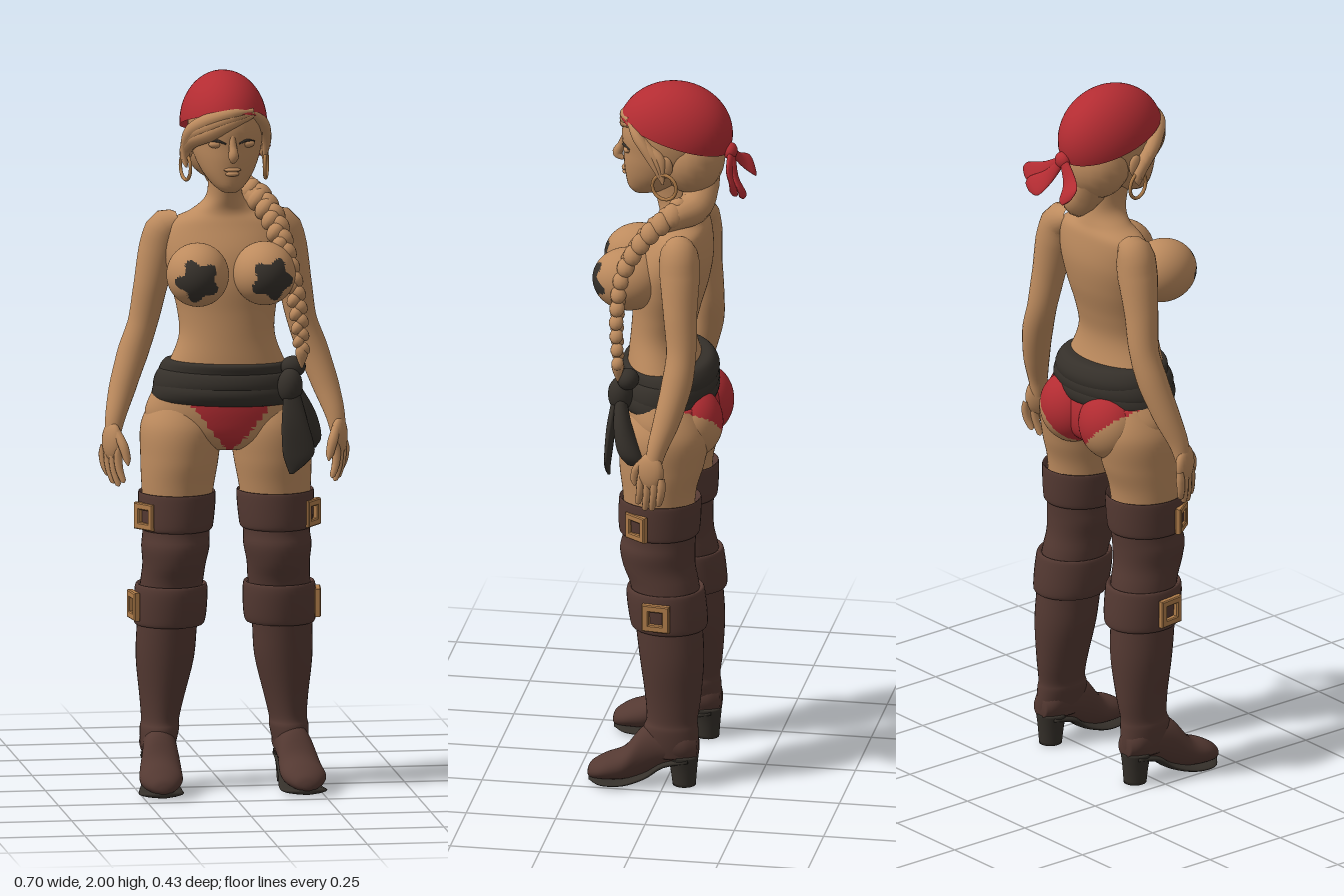
import * as THREE from 'three';

const mat = (name, color, side = THREE.FrontSide) => {
  const m = new THREE.MeshStandardMaterial({ color, side });
  m.name = name;
  return m;
};
const skin = mat('skin and hair', 0xbd8b5e);
const red = mat('red cloth', 0xb32c32, THREE.DoubleSide);
const leather = mat('brown leather', 0x543932);
const dark = mat('dark cloth', 0x35302a);
const brass = mat('brass', 0xb07d4a);

const cubic = (a, b, c, d, t) =>
  b + 0.5 * t * (c - a + t * (2 * a - 5 * b + 4 * c - d + t * (3 * (b - c) + d - a)));

// Smooth stack of oval rings, top to bottom: [y, centreX, halfWidth, zFront, zBack]
function loft(rows, seg = 36, steps = 4) {
  const rings = [];
  const at = k => rows[Math.min(Math.max(k, 0), rows.length - 1)];
  for (let i = 0; i < rows.length - 1; i++)
    for (let s = 0; s < steps; s++)
      rings.push(rows[0].map((_, k) => cubic(at(i - 1)[k], at(i)[k], at(i + 1)[k], at(i + 2)[k], s / steps)));
  rings.push(rows[rows.length - 1]);
  const pos = [], idx = [], n = rings.length;
  for (const [y, cx, rx, zf, zb] of rings)
    for (let j = 0; j < seg; j++) {
      const a = (j / seg) * Math.PI * 2;
      pos.push(cx + rx * Math.cos(a), y, (zf + zb) / 2 + ((zf - zb) / 2) * Math.sin(a));
    }
  for (const [y, cx, , zf, zb] of [rings[0], rings[n - 1]]) pos.push(cx, y, (zf + zb) / 2);
  for (let j = 0; j < seg; j++) {
    const k = (j + 1) % seg;
    for (let i = 0; i < n - 1; i++) {
      const p = i * seg, q = p + seg;
      idx.push(p + j, p + k, q + j, p + k, q + k, q + j);
    }
    const e = (n - 1) * seg;
    idx.push(n * seg, k, j, n * seg + 1, e + j, e + k);
  }
  const g = new THREE.BufferGeometry();
  g.setAttribute('position', new THREE.Float32BufferAttribute(pos, 3));
  g.setIndex(idx);
  g.computeVertexNormals();
  return g;
}

// Tube with a radius at every point: [x, y, z, radius]
function strand(pts, seg = 12) {
  const curve = new THREE.CatmullRomCurve3(pts.map(p => new THREE.Vector3(p[0], p[1], p[2])));
  const n = pts.length * 4, g = new THREE.TubeGeometry(curve, n, 1, seg), p = g.attributes.position;
  const v = new THREE.Vector3();
  for (let i = 0; i <= n; i++) {
    const u = curve.getUtoTmapping(i / n) * (pts.length - 1);
    const k = Math.min(Math.floor(u), pts.length - 2);
    const r = THREE.MathUtils.lerp(pts[k][3], pts[k + 1][3], u - k);
    const c = curve.getPointAt(i / n);
    for (let j = 0; j <= seg; j++) {
      const id = i * (seg + 1) + j;
      v.fromBufferAttribute(p, id).sub(c).multiplyScalar(r).add(c);
      p.setXYZ(id, v.x, v.y, v.z);
    }
  }
  return g;
}

function ball(x, y, z, rx, ry, rz, seg = 20) {
  return new THREE.SphereGeometry(1, seg, Math.round(seg * 0.75)).scale(rx, ry, rz).translate(x, y, z);
}

// Sorts faces into two material groups by a rule on the face centre
function paint(g, rule) {
  const p = g.attributes.position, old = g.index.array, sets = [[], []];
  for (let i = 0; i < old.length; i += 3) {
    const f = [old[i], old[i + 1], old[i + 2]];
    const mean = get => (get(f[0]) + get(f[1]) + get(f[2])) / 3;
    sets[rule(mean(k => p.getX(k)), mean(k => p.getY(k)), mean(k => p.getZ(k))) ? 1 : 0].push(...f);
  }
  g.setIndex([...sets[0], ...sets[1]]);
  g.addGroup(0, sets[0].length, 0);
  g.addGroup(sets[0].length, sets[1].length, 1);
  return g;
}

const isBrief = (x, y, z) => y < 1.16 && y > 0.93 &&
  Math.abs(x) < (z > 0 ? 0.012 + 0.8 * (y - 0.96) : 0.025 + 1.0 * (y - 0.945));

export function createModel() {
  const model = new THREE.Group();
  const add = (name, geo, material) => {
    const m = new THREE.Mesh(geo, material);
    m.name = name;
    model.add(m);
    return m;
  };
  const body = [skin, red];

  // Torso and pelvis
  add('torso', paint(loft([
    [1.72, 0, 0.047, 0.07, -0.06], [1.65, 0, 0.05, 0.052, -0.07], [1.61, 0, 0.09, 0.045, -0.08],
    [1.575, 0, 0.155, 0.06, -0.093], [1.5, 0, 0.168, 0.1, -0.1], [1.42, 0, 0.155, 0.118, -0.088],
    [1.34, 0, 0.137, 0.12, -0.065], [1.27, 0, 0.133, 0.125, -0.052], [1.2, 0, 0.158, 0.132, -0.065],
    [1.12, 0, 0.2, 0.138, -0.1], [1.05, 0, 0.224, 0.138, -0.118], [0.99, 0, 0.2, 0.125, -0.11],
    [0.955, 0, 0.12, 0.085, -0.07], [0.945, 0, 0.05, 0.04, -0.03]], 80, 7), isBrief), body);

  // Head and neck hair
  add('head', loft([
    [1.99, 0, 0.02, 0.02, -0.02], [1.97, 0, 0.06, 0.08, -0.07], [1.92, 0, 0.096, 0.132, -0.12],
    [1.86, 0, 0.104, 0.152, -0.13], [1.81, 0, 0.1, 0.148, -0.12], [1.77, 0, 0.09, 0.147, -0.09],
    [1.73, 0, 0.072, 0.142, -0.04], [1.695, 0, 0.046, 0.135, 0.01], [1.677, 0, 0.022, 0.12, 0.07]]), skin);
  add('nose', strand([[0, 1.84, 0.145, 0.007], [0, 1.81, 0.154, 0.011], [0, 1.785, 0.165, 0.015], [0, 1.772, 0.155, 0.008], [0, 1.768, 0.145, 0.002]]), skin);
  add('upperLip', ball(0, 1.745, 0.144, 0.024, 0.006, 0.009), skin);
  add('lowerLip', ball(0, 1.733, 0.142, 0.019, 0.007, 0.009), skin);
  add('backHair', ball(0, 1.79, -0.045, 0.106, 0.105, 0.09), skin);
  add('napeHair', strand([[-0.03, 1.77, -0.08, 0.04], [0, 1.71, -0.07, 0.05], [0.05, 1.66, -0.06, 0.048], [0.09, 1.64, -0.01, 0.038], [0.11, 1.61, 0.04, 0.02]]), skin);

  // Swept fringe, in several locks
  for (let i = 0; i < 3; i++) {
    const d = i * 0.012;
    add('fringeLock', strand([[0.06, 1.905 - d / 2, 0.122, 0.008], [0, 1.9 - d, 0.142, 0.018], [-0.06, 1.88 - d * 1.4, 0.126, 0.024],
      [-0.105, 1.84 - d * 1.3, 0.075 - d, 0.022], [-0.114, 1.785 - d, 0.035 - d, 0.013], [-0.11, 1.735, 0.02, 0.003]]), skin);
    add('sideLock', strand([[0.05, 1.905, 0.126, 0.007], [0.092, 1.868 - d, 0.092 - d, 0.016], [0.108, 1.81, 0.05 - d, 0.014], [0.105, 1.74, 0.02, 0.003]]), skin);
  }

  // Braid over the left shoulder
  const braid = new THREE.CatmullRomCurve3([[0.085, 1.66, -0.02], [0.125, 1.6, 0.055], [0.152, 1.5, 0.118],
    [0.18, 1.38, 0.135], [0.195, 1.24, 0.13]].map(p => new THREE.Vector3(...p)));
  for (let i = 0; i < 26; i++) {
    const t = i / 25, c = braid.getPointAt(t), r = 0.031 - 0.014 * t, s = i % 2 ? 1 : -1;
    const knot = add('braidTwist', ball(0, 0, 0, r * 0.85, r * 1.15, r, 12), skin);
    knot.position.set(c.x + s * r * 0.4, c.y, c.z);
    knot.rotation.z = s * 0.6;
  }
  add('braidTip', loft([[1.25, 0.195, 0.012, 0.142, 0.118], [1.225, 0.195, 0.018, 0.147, 0.113], [1.185, 0.195, 0.003, 0.133, 0.127]], 14), skin);

  // Headscarf, knot and tails
  add('headscarf', new THREE.SphereGeometry(1, 48, 20, 0, Math.PI * 2, 0, Math.PI / 2)
    .rotateX(-0.33).scale(0.12, 0.145, 0.16).translate(-0.005, 1.855, 0.005), red);
  add('scarfKnot', ball(0.01, 1.815, -0.152, 0.026, 0.024, 0.02), red);
  for (const [rz, rx, len] of [[0.95, 0.3, 0.16], [0.62, 0.4, 0.15], [-0.75, 0.5, 0.13]]) {
    const tail = add('scarfTail', loft([[0, 0, 0.012, 0.01, -0.01], [-len * 0.5, 0, 0.022, 0.016, 0.002],
      [-len * 0.85, 0.004, 0.034, 0.004, -0.008], [-len, 0.016, 0.016, 0.002, -0.004]], 18), red);
    tail.position.set(0.005, 1.82, -0.155);
    tail.rotation.set(rx, 0, rz);
  }

  // Paired parts
  for (const s of [1, -1]) {
    const side = s > 0 ? 'left' : 'right';
    const sx = pts => pts.map(([x, ...r]) => [s * x, ...r]);
    const sl = rows => rows.map(([y, x, ...r]) => [y, s * x, ...r]);

    // Face
    add(side + 'Lash', strand(sx([[0.018, 1.818, 0.147, 0.002], [0.04, 1.826, 0.141, 0.004], [0.065, 1.82, 0.12, 0.002]]), 8), dark);
    add(side + 'Eyelid', ball(s * 0.042, 1.815, 0.129, 0.022, 0.011, 0.012), skin);
    add(side + 'Ear', ball(s * 0.103, 1.79, 0.015, 0.012, 0.032, 0.022), skin);
    const ring = add(side + 'Earring', new THREE.TorusGeometry(0.036, 0.005, 8, 28), brass);
    ring.position.set(s * 0.112, 1.735, 0.015);
    ring.rotation.y = Math.PI / 2 - s * 0.25;

    // Chest with ragged cloth patch
    add(side + 'Chest', paint(ball(s * 0.093, 1.45, 0.118, 0.086, 0.088, 0.1, 64), (x, y, z) => {
      const dx = s * x - 0.103, dy = y - 1.445;
      return z > 0.12 && Math.hypot(dx, dy) < 0.053 + 0.009 * Math.cos(5 * Math.atan2(dy, dx) + 0.6);
    }), [skin, dark]);

    // Arm and hand
    add(side + 'Arm', strand(sx([[0.12, 1.575, -0.03, 0.03], [0.158, 1.558, -0.035, 0.055], [0.178, 1.5, -0.04, 0.056],
      [0.2, 1.4, -0.045, 0.047], [0.222, 1.29, -0.052, 0.041], [0.25, 1.21, -0.045, 0.043], [0.284, 1.11, -0.022, 0.037],
      [0.307, 1.03, 0.002, 0.027], [0.314, 0.98, 0.01, 0.02]]), 24), skin);
    const palm = add(side + 'Palm', ball(0, 0, 0, 0.021, 0.055, 0.041), skin);
    palm.position.set(s * 0.316, 0.972, 0.016);
    palm.rotation.y = -s * 0.45;
    for (let i = 0; i < 4; i++) {
      const x = 0.301 + 0.011 * i, z = 0.046 - 0.021 * i, len = [0.072, 0.085, 0.08, 0.062][i];
      add(side + 'Finger', strand(sx([[x, 0.96, z, 0.009], [x + 0.003, 0.935, z, 0.0125], [x, 0.935 - len * 0.5, z + 0.004, 0.011],
        [x - 0.01, 0.94 - len, z + 0.01, 0.008], [x - 0.012, 0.935 - len, z + 0.01, 0.002]]), 10), skin);
    }
    add(side + 'Thumb', strand(sx([[0.305, 1.0, 0.035, 0.012], [0.291, 0.965, 0.06, 0.014], [0.282, 0.93, 0.068, 0.011], [0.279, 0.912, 0.068, 0.002]]), 10), skin);

    // Hip and thigh
    add(side + 'Buttock', paint(ball(s * 0.085, 1.035, -0.058, 0.096, 0.1, 0.086, 56), isBrief), body);
    add(side + 'Thigh', paint(loft(sl([[1.1, 0.125, 0.07, 0.09, -0.08], [1.02, 0.124, 0.11, 0.132, -0.112], [0.93, 0.129, 0.108, 0.136, -0.1],
      [0.85, 0.135, 0.1, 0.126, -0.078], [0.74, 0.14, 0.088, 0.115, -0.07]]), 56, 8), isBrief), body);

    // Boot: shaft, cuffs, foot, sole, heel
    add(side + 'BootShaft', loft(sl([[0.79, 0.138, 0.096, 0.125, -0.083], [0.72, 0.14, 0.092, 0.125, -0.078], [0.68, 0.142, 0.094, 0.132, -0.076],
      [0.63, 0.145, 0.087, 0.123, -0.078], [0.57, 0.15, 0.086, 0.1, -0.09], [0.46, 0.16, 0.083, 0.085, -0.1], [0.36, 0.165, 0.08, 0.072, -0.105],
      [0.25, 0.173, 0.061, 0.056, -0.098], [0.19, 0.178, 0.052, 0.052, -0.09], [0.165, 0.18, 0.054, 0.06, -0.092],
      [0.12, 0.184, 0.048, 0.06, -0.094], [0.085, 0.184, 0.042, 0.05, -0.09]])), leather);
    add(side + 'TopCuff', loft(sl([[0.815, 0.137, 0.092, 0.118, -0.076], [0.833, 0.137, 0.104, 0.132, -0.09], [0.815, 0.137, 0.107, 0.136, -0.093],
      [0.75, 0.139, 0.103, 0.136, -0.09], [0.728, 0.14, 0.098, 0.13, -0.084], [0.73, 0.14, 0.08, 0.11, -0.065]])), leather);
    add(side + 'KneeCuff', loft(sl([[0.56, 0.15, 0.08, 0.09, -0.08], [0.573, 0.15, 0.096, 0.108, -0.1], [0.545, 0.151, 0.101, 0.112, -0.107],
      [0.485, 0.153, 0.1, 0.104, -0.113], [0.458, 0.155, 0.094, 0.096, -0.11], [0.465, 0.155, 0.075, 0.08, -0.09]])), leather);
    add(side + 'Foot', loft(sl([[0.213, 0.2, 0.008, -0.022, -0.034], [0.203, 0.2, 0.034, -0.013, -0.056], [0.165, 0.2, 0.058, -0.012, -0.08],
      [0.11, 0.195, 0.059, -0.013, -0.105], [0.06, 0.189, 0.051, -0.025, -0.165], [0, 0.184, 0.047, -0.055, -0.18],
      [-0.06, 0.184, 0.046, -0.072, -0.17], [-0.092, 0.184, 0.026, -0.082, -0.14]])).rotateX(Math.PI / 2), leather);
    add(side + 'Sole', loft(sl([[0.208, 0.2, 0.02, -0.004, -0.022], [0.17, 0.2, 0.06, 0, -0.02], [0.11, 0.195, 0.06, 0, -0.02], [0.05, 0.189, 0.048, -0.018, -0.04],
      [0, 0.184, 0.042, -0.05, -0.075], [-0.07, 0.184, 0.042, -0.068, -0.09]]), 24).rotateX(Math.PI / 2), dark);
    add(side + 'Heel', loft(sl([[0.09, 0.184, 0.043, -0.005, -0.094], [0.05, 0.184, 0.035, -0.015, -0.09], [0, 0.184, 0.031, -0.022, -0.086]]), 24), dark);

    // Buckles on the cuffs
    for (const [x, y, z, turn, size] of [[0.228, 0.77, 0.068, 0.95, 0.034], [0.25, 0.513, 0.012, 1.45, 0.036]]) {
      const frame = new THREE.Shape(), hole = new THREE.Path(), h = size * 0.62;
      frame.moveTo(-size, -size).lineTo(size, -size).lineTo(size, size).lineTo(-size, size);
      hole.moveTo(-h, -h).lineTo(-h, h).lineTo(h, h).lineTo(h, -h);
      frame.holes.push(hole);
      const g = new THREE.ExtrudeGeometry(frame, { depth: 0.012, bevelSize: 0.003, bevelThickness: 0.003, bevelSegments: 1 });
      const buckle = add(side + 'Buckle', g, brass);
      buckle.position.set(s * x, y, z);
      buckle.rotation.y = s * turn;
    }
  }

  // Waist sash: three overlapping folds, then knot and hanging tails
  for (const [y, grow] of [[1.165, -0.014], [1.14, 0], [1.115, 0.004]]) {
    const g = loft([[y + 0.034, 0, 0.15 + grow, 0.12, -0.07], [y + 0.03, 0, 0.184 + grow, 0.146, -0.098], [y, 0, 0.2 + grow, 0.158 + grow, -0.116],
      [y - 0.03, 0, 0.198 + grow, 0.148, -0.11], [y - 0.034, 0, 0.16 + grow, 0.12, -0.08]], 48);
    add('sashFold', g.applyMatrix4(new THREE.Matrix4().makeShear(-0.03, 0, 0, 0, 0, 0)), dark);
  }
  add('sashKnot', ball(0.163, 1.135, 0.128, 0.035, 0.05, 0.035), dark);
  add('sashLoop', ball(0.175, 1.185, 0.105, 0.035, 0.03, 0.03), dark);
  add('longTail', loft([[1.13, 0.165, 0.02, 0.15, 0.125], [1.04, 0.172, 0.036, 0.165, 0.14], [0.96, 0.182, 0.045, 0.168, 0.15],
    [0.925, 0.175, 0.03, 0.168, 0.155], [0.895, 0.162, 0.006, 0.165, 0.157]], 20), dark);
  add('shortTail', loft([[1.13, 0.175, 0.02, 0.14, 0.11], [1.06, 0.205, 0.03, 0.14, 0.09], [0.99, 0.227, 0.028, 0.125, 0.06],
    [0.955, 0.235, 0.008, 0.095, 0.05]], 20), dark);
  return model;
}
